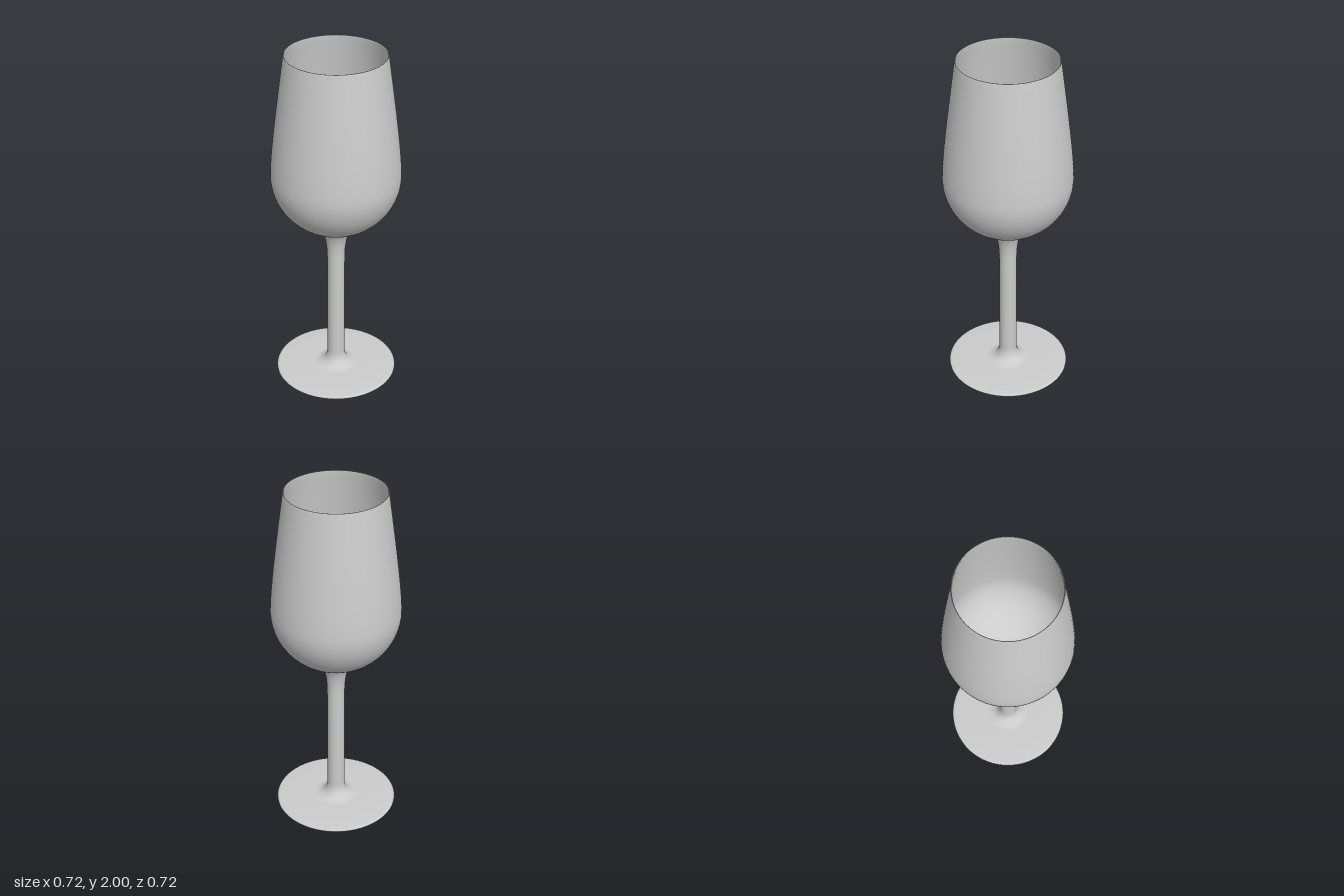
import * as THREE from 'three';

const material = new THREE.MeshStandardMaterial({ color: 0xcccccc });
const SEGMENTS = 96;

const v = (x, y) => new THREE.Vector2(x, y);

// Solid of revolution; the profile runs up the outside
function turned(name, profile) {
  const mesh = new THREE.Mesh(new THREE.LatheGeometry(profile, SEGMENTS), material);
  mesh.name = name;
  return mesh;
}

// Outer bowl wall: elliptical cup, then a gently tapering side
function bowlWall(radius, depth, rim) {
  const points = [];
  for (let i = 0; i <= 24; i++) {
    const a = (i / 24) * Math.PI / 2;
    points.push(v(radius * Math.sin(a), 1.3 - depth * Math.cos(a)));
  }
  const side = new THREE.CubicBezierCurve(
    v(radius, 1.3), v(radius - 0.002, 1.43), v(rim + 0.036, 1.74), v(rim, 1.995));
  return points.concat(side.getPoints(20).slice(1));
}

export function createModel() {
  const glass = new THREE.Group();
  glass.name = 'wineGlass';

  // Thin foot with a rounded edge
  glass.add(turned('foot', [
    v(0, 0), v(0.2, 0.002), v(0.3, 0.006), v(0.335, 0.01), v(0.348, 0.014), v(0.353, 0.02),
    v(0.349, 0.026), v(0.335, 0.03), v(0.25, 0.034), v(0.12, 0.036), v(0, 0.036),
  ]));

  // Stem flaring into the foot and the bowl
  const stem = new THREE.CurvePath();
  stem.add(new THREE.CubicBezierCurve(v(0.13, 0.035), v(0.085, 0.04), v(0.055, 0.06), v(0.05, 0.12)));
  stem.add(new THREE.LineCurve(v(0.05, 0.12), v(0.05, 0.78)));
  stem.add(new THREE.CubicBezierCurve(v(0.05, 0.78), v(0.052, 0.88), v(0.07, 0.95), v(0.115, 0.973)));
  glass.add(turned('stem', stem.getPoints(14)));

  // Hollow bowl: outside, rounded lip, inside
  const outside = bowlWall(0.36, 0.345, 0.277);
  const inside = bowlWall(0.352, 0.335, 0.271).reverse();
  glass.add(turned('bowl', [...outside, v(0.2755, 2), v(0.2725, 2), ...inside]));

  return glass;
}
